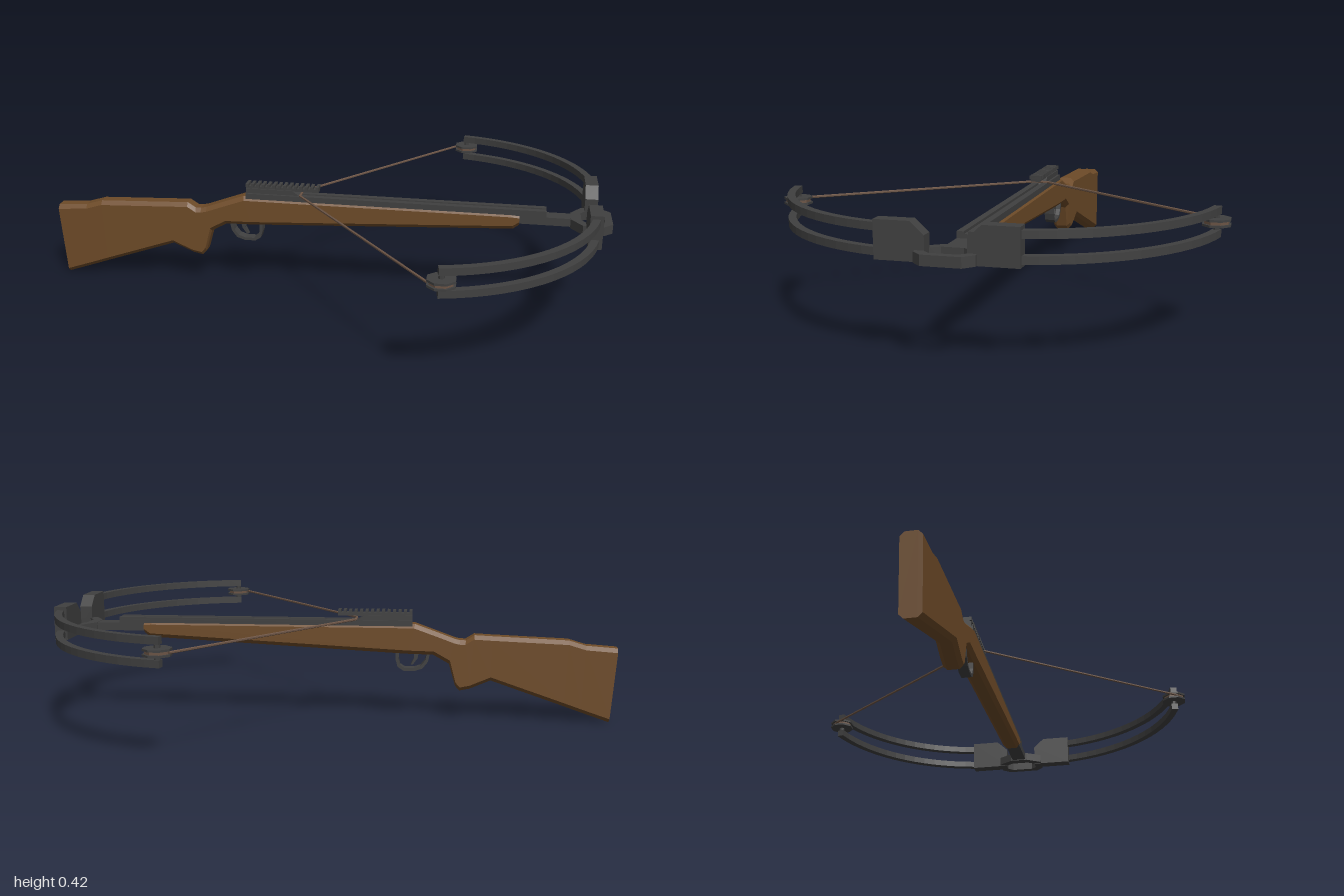
import * as THREE from 'three';

const mat = (name, color, side = THREE.FrontSide) => {
  const m = new THREE.MeshStandardMaterial({ color, flatShading: true, side });
  m.name = name;
  return m;
};

export function createModel() {
  const wood = mat('walnut wood', 0x6e4b28);
  const metal = mat('dark metal', 0x404040);
  const cord = mat('bowstring cord', 0x6b5445);
  const model = new THREE.Group();

  const add = (name, geo, material) => {
    const mesh = new THREE.Mesh(geo, material);
    mesh.name = name;
    model.add(mesh);
    return mesh;
  };
  // box given by its limits on each axis
  const box = (name, x0, x1, y0, y1, z0, z1, material = metal) =>
    add(name, new THREE.BoxGeometry(x1 - x0, y1 - y0, z1 - z0), material)
      .position.set((x0 + x1) / 2, (y0 + y1) / 2, (z0 + z1) / 2);
  const shapeOf = pts => new THREE.Shape(pts.map(p => new THREE.Vector2(...p)));
  const extrude = (shape, depth) =>
    new THREE.ExtrudeGeometry(shape, { depth, bevelEnabled: false, curveSegments: 6 });
  // plan outline (x, z) extruded between two heights
  const plan = (shape, y0, y1) => extrude(shape, y1 - y0).rotateX(Math.PI / 2).translate(0, y1, 0);
  // side outline (x, y) extruded symmetrically across z
  const profile = (shape, halfWidth) => extrude(shape, halfWidth * 2).translate(0, 0, -halfWidth);

  // Stock: chamfered sections lofted between top and bottom points
  const ribs = [
    [-1, 0.27, -0.98, 0.003], [-0.89, 0.278, -0.88, 0.037], [-0.83, 0.296, -0.82, 0.058],
    [-0.56, 0.307, -0.56, 0.147], [-0.5, 0.31, -0.485, 0.115], [-0.47, 0.291, -0.45, 0.108],
    [-0.45, 0.291, -0.435, 0.125], [-0.43, 0.296, -0.412, 0.205], [-0.37, 0.318, -0.355, 0.237],
    [-0.29, 0.347, -0.26, 0.239], [0.66, 0.347, 0.67, 0.287], [0.69, 0.345, 0.69, 0.303],
  ];
  const w = 0.034, c = 0.014;
  const positions = [], index = [];
  for (const [tx, ty, bx, by] of ribs) {
    const f = c / (ty - by);
    const ring = [[0, w - c], [f, w], [1 - f, w], [1, w - c], [1, c - w], [1 - f, -w], [f, -w], [0, c - w]];
    for (const [t, z] of ring) positions.push(tx + (bx - tx) * t, ty + (by - ty) * t, z);
  }
  for (let i = 0; i < ribs.length - 1; i++) {
    for (let j = 0; j < 8; j++) {
      const a = i * 8 + j, b = i * 8 + (j + 1) % 8;
      index.push(a, b, b + 8, a, b + 8, a + 8);
    }
  }
  const last = (ribs.length - 1) * 8;
  for (let j = 1; j < 7; j++) index.push(0, j + 1, j, last, last + j, last + j + 1);
  const indexed = new THREE.BufferGeometry();
  indexed.setAttribute('position', new THREE.Float32BufferAttribute(positions, 3));
  indexed.setIndex(index);
  const stockGeo = indexed.toNonIndexed();
  stockGeo.computeVertexNormals();
  add('stock', stockGeo, wood);

  // Grooved bolt rail and the stem that carries the bow
  box('railBase', -0.28, 0.78, 0.335, 0.351, -0.028, 0.028);
  for (const s of [-1, 1]) box('railLip', -0.28, 0.78, 0.351, 0.359, s * 0.017 - 0.011, s * 0.017 + 0.011);
  box('bowStem', 0.6, 0.875, 0.31, 0.338, -0.028, 0.028);

  // Latch housing and toothed sight mount
  add('latchHousing', profile(shapeOf([[-0.28, 0.345], [-0.08, 0.345], [-0.085, 0.358], [-0.11, 0.376], [-0.28, 0.376]]), 0.02), metal);
  box('sightMountBase', -0.28, -0.015, 0.373, 0.384, -0.016, 0.016);
  for (let i = 0; i < 14; i++) {
    const x = -0.28 + i * 0.0196;
    box('sightMountTooth', x, x + 0.0105, 0.381, 0.394, -0.022, 0.022);
  }

  // Trigger guard and trigger
  const guard = shapeOf([[-0.345, 0.245], [-0.337, 0.21], [-0.318, 0.185], [-0.29, 0.176], [-0.25, 0.176], [-0.229, 0.19], [-0.222, 0.215], [-0.222, 0.247]]);
  guard.holes.push(new THREE.Path([[-0.334, 0.245], [-0.327, 0.214], [-0.311, 0.194], [-0.288, 0.186], [-0.254, 0.186], [-0.238, 0.197], [-0.233, 0.217], [-0.233, 0.244]].map(p => new THREE.Vector2(...p))));
  add('triggerGuard', profile(guard, 0.018), metal);
  add('trigger', profile(shapeOf([[-0.305, 0.245], [-0.3, 0.22], [-0.284, 0.198], [-0.276, 0.198], [-0.288, 0.222], [-0.285, 0.245]]), 0.008), metal);

  // Foot stirrup: an eight-sided ring at the muzzle
  const stirrup = shapeOf([[0.862, -0.033], [0.9, -0.09], [0.97, -0.09], [1, -0.06], [1, 0.06], [0.97, 0.09], [0.9, 0.09], [0.862, 0.033]]);
  stirrup.holes.push(new THREE.Path([[0.897, -0.034], [0.917, -0.062], [0.957, -0.062], [0.975, -0.042], [0.975, 0.042], [0.957, 0.062], [0.917, 0.062], [0.897, 0.034]].map(p => new THREE.Vector2(...p))));
  add('stirrup', plan(stirrup, 0.307, 0.339), metal);

  const camX = 0.47, camZ = 0.687;
  for (const s of [-1, 1]) {
    // Limb clamp, with its upper inner corner cut off
    const clamp = shapeOf([[0.062, 0.305], [0.212, 0.305], [0.212, 0.42], [0.103, 0.42], [0.062, 0.382]].map(([z, y]) => [-z * s, y]));
    add('limbClamp', extrude(clamp, 0.044).rotateY(Math.PI / 2).translate(0.911, 0, 0), metal);

    // Twin curved limbs
    const arc = r => Array.from({ length: 17 }, (_, i) => {
      const a = 0.1 + (1.373 - 0.1) * i / 16;
      return [0.342 + r * Math.cos(a), s * (0.1 + r * Math.sin(a))];
    });
    const limb = shapeOf([...arc(0.613), ...arc(0.588).reverse()]);
    add('upperLimb', plan(limb, 0.385, 0.409), metal);
    add('lowerLimb', plan(limb, 0.314, 0.338), metal);

    // Cam wheel: two plates with the string groove between
    const disc = (name, r, y0, y1, m, sides = 8) =>
      add(name, new THREE.CylinderGeometry(r, r, y1 - y0, sides).rotateY(Math.PI / 8), m)
        .position.set(camX, (y0 + y1) / 2, s * camZ);
    disc('camPlate', 0.046, 0.35, 0.357, metal);
    disc('camPlate', 0.046, 0.367, 0.374, metal);
    disc('camGroove', 0.039, 0.357, 0.367, cord);
    disc('camAxle', 0.01, 0.33, 0.392, metal);
  }

  // Drawn bowstring
  const points = [[0.432, -0.7], [-0.08, -0.028], [-0.08, 0.028], [0.432, 0.7]].map(([x, z]) => new THREE.Vector3(x, 0.362, z));
  for (let i = 0; i < 3; i++) {
    add('bowstring', new THREE.TubeGeometry(new THREE.LineCurve3(points[i], points[i + 1]), 1, 0.0045, 6), cord);
  }
  return model;
}
